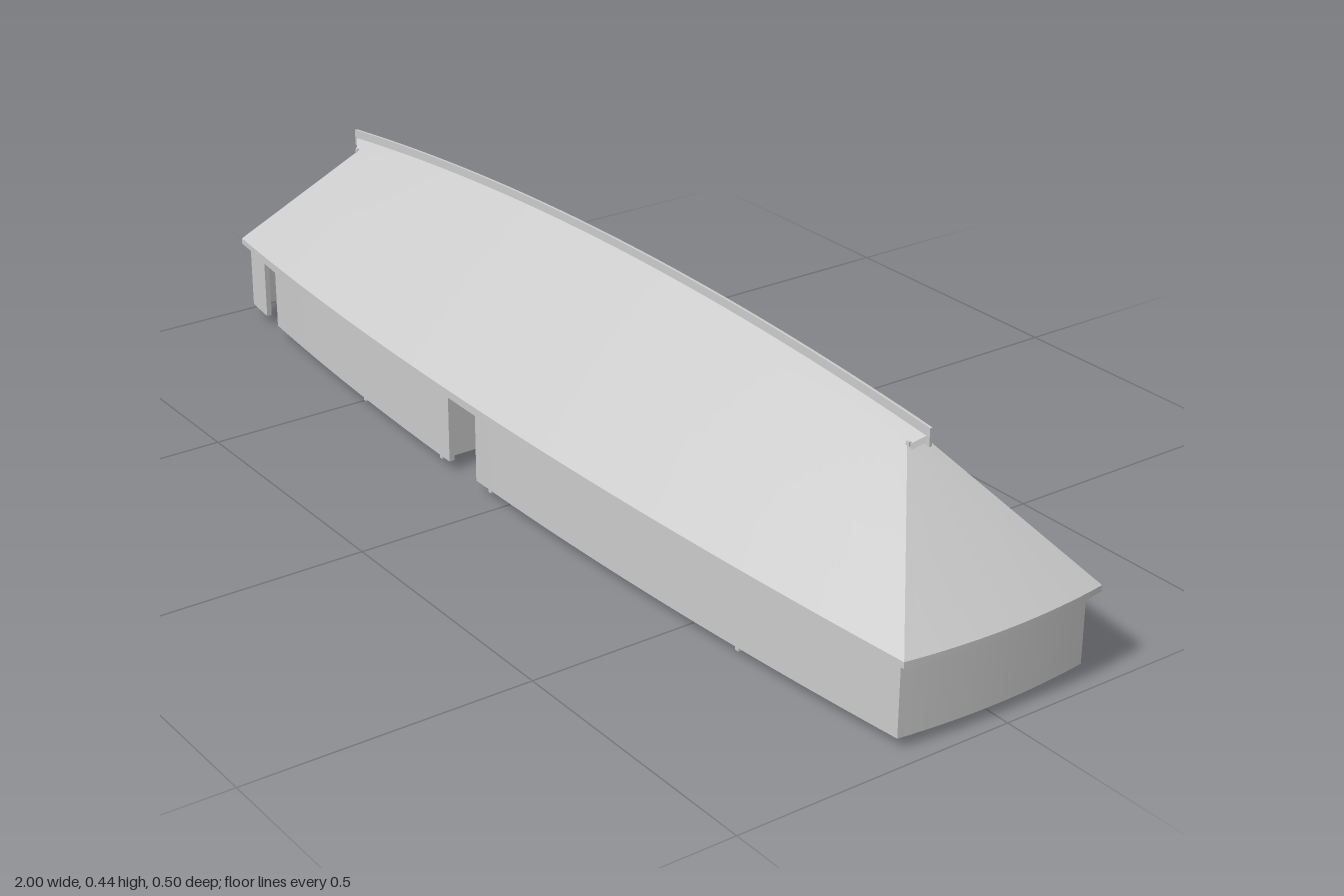
import * as THREE from 'three';
import { toCreasedNormals } from 'three/addons/utils/BufferGeometryUtils.js';

const mat = new THREE.MeshStandardMaterial({ color: 0xcccccc, side: THREE.DoubleSide });
const lerp = THREE.MathUtils.lerp;
const V = (x, y, z) => new THREE.Vector3(x, y, z);

// Bowed plan and sagging heights of the hall along x
const s = x => ((x - 0.05) / 1.03) ** 2;
const eaveZ = x => 0.25 - 0.07 * s(x);
const eaveY = x => 0.175 - 0.019 * s(x);
const ridgeY = x => 0.428 - 0.073 * s(x);
const wallZ = x => 0.23 - 0.062 * s(x);
const wallTop = x => eaveY(x) + 0.005;
const BASE = 0.02;

// Ends of the building: eave corner, top of hip, tip of ridge, wall corner
const ENDS = [
  { dir: -1, corner: -0.988, hip: -0.81, ridge: -0.835, wall: -0.973 },
  { dir: 1, corner: 0.982, hip: 0.775, ridge: 0.8, wall: 0.963 },
];
const HIP = 0.9;

// Closed solid through a row of equal cross-section rings
function loft(n, ring) {
  const rings = Array.from({ length: n + 1 }, (_, i) => ring(i / n));
  const m = rings[0].length, idx = [];
  for (let i = 0; i < n; i++) for (let j = 0; j < m; j++) {
    const a = i * m + j, b = i * m + (j + 1) % m;
    idx.push(a, b, a + m, b, b + m, a + m);
  }
  // end caps, as quads between the two halves of the ring
  for (const [o, flip] of [[0, true], [n * m, false]]) for (let j = 0; j < m / 2 - 1; j++) {
    const a = o + j, b = o + j + 1, c = o + m - 2 - j, d = o + m - 1 - j;
    idx.push(...(flip ? [a, c, b, a, d, c] : [a, b, c, a, c, d]));
  }
  const pts = rings.flat();
  let vol = 0;
  for (let k = 0; k < idx.length; k += 3)
    vol += pts[idx[k]].dot(pts[idx[k + 1]].clone().cross(pts[idx[k + 2]]));
  if (vol < 0) idx.reverse();
  const g = new THREE.BufferGeometry().setFromPoints(pts);
  g.setIndex(idx);
  return toCreasedNormals(g, 0.5);
}

// Point on the roof side: u along the hall, v from eave to ridge
function roofPoint(u, v, side) {
  const xAt = e => v <= HIP ? lerp(e.corner, e.hip, v / HIP) : lerp(e.hip, e.ridge, (v - HIP) / (1 - HIP));
  const xe = lerp(ENDS[0].corner, ENDS[1].corner, u), xr = lerp(ENDS[0].ridge, ENDS[1].ridge, u);
  return V(lerp(xAt(ENDS[0]), xAt(ENDS[1]), u), lerp(eaveY(xe), ridgeY(xr), v), side * eaveZ(xe) * (1 - v));
}

// Ring made of top points and the same points dropped by a thickness
const slab = (top, t) => [...top, ...top.map(p => V(p.x, p.y - t, p.z)).reverse()];

export function createModel() {
  const model = new THREE.Group();
  const group = name => {
    const g = new THREE.Group();
    g.name = name;
    model.add(g);
    return g;
  };
  const add = (parent, name, geo) => {
    const m = new THREE.Mesh(geo, mat);
    m.name = name;
    parent.add(m);
    return m;
  };
  const box = (parent, name, x0, x1, y0, y1, z0, z1) =>
    add(parent, name, new THREE.BoxGeometry(x1 - x0, y1 - y0, Math.abs(z1 - z0)))
      .position.set((x0 + x1) / 2, (y0 + y1) / 2, (z0 + z1) / 2);
  const beam = (parent, name, a, b, t) => {
    const m = add(parent, name, new THREE.BoxGeometry(t, t, a.distanceTo(b)));
    m.position.copy(a).lerp(b, 0.5);
    m.lookAt(b);
  };

  // Roof slopes, hips and gablets
  const roof = group('roof');
  for (const side of [1, -1])
    add(roof, side > 0 ? 'frontSlope' : 'backSlope',
      loft(48, u => slab([0, 0.45, HIP, 1].map(v => roofPoint(u, v, side)), 0.011)));
  ENDS.forEach((e, i) => {
    add(roof, 'hipEnd', loft(16, k => {
      const t = k * 2 - 1, a = roofPoint(i, 0, 1), b = roofPoint(i, HIP, 1);
      const bottom = V(a.x + e.dir * 0.015 * (1 - t * t), a.y, a.z * t);
      return slab([bottom, V(b.x, b.y, b.z * t)], 0.011);
    }));
    const b = roofPoint(i, HIP, 1), top = roofPoint(i, 1, 1);
    const gablet = new THREE.Shape([new THREE.Vector2(-b.z, b.y), new THREE.Vector2(b.z, b.y), new THREE.Vector2(0, top.y)]);
    const m = add(roof, 'gablet', new THREE.ShapeGeometry(gablet));
    m.rotation.y = e.dir * Math.PI / 2;
    m.position.x = b.x;
    beam(roof, 'gabletSill', V(b.x, b.y + 0.003, -b.z), V(b.x, b.y + 0.003, b.z), 0.007);
  });
  add(roof, 'ridgeBoard', loft(48, u => {
    const x = lerp(ENDS[0].ridge - 0.004, ENDS[1].ridge + 0.004, u), y = ridgeY(x);
    return slab([V(x, y + 0.012, -0.0025), V(x, y + 0.012, 0.0025)], 0.03);
  }));

  // Long walls, cut by doorways in the front
  const walls = group('walls');
  const wall = (name, x0, x1, y0, side) => add(walls, name, loft(Math.max(2, Math.round((x1 - x0) * 24)), k => {
    const x = lerp(x0, x1, k), z = wallZ(x), y = wallTop(x);
    return slab([V(x, y, side * z), V(x, y, side * (z - 0.01))], y - y0);
  }));
  const [L, R] = ENDS.map(e => e.wall);
  wall('backWall', L, R, BASE, -1);
  const doors = [[-0.905, -0.852, 0.13], [-0.163, -0.075, 0.142]];
  let start = L;
  for (const [x0, x1, top] of doors) {
    wall('frontWall', start, x0, BASE, 1);
    wall('doorLintel', x0, x1, top, 1);
    start = x1;
  }
  wall('frontWall', start, R, BASE, 1);

  // Bowed end walls
  for (const e of ENDS) add(walls, 'endWall', loft(16, k => {
    const t = k * 2 - 1, x = e.wall + e.dir * 0.012 * (1 - t * t), z = wallZ(e.wall) * t, y = wallTop(e.wall);
    return slab([V(x, y, z), V(x - e.dir * 0.01, y, z)], y - BASE);
  }));

  // Posts in two rows, joined by tie beams and long plates
  const frame = group('timberFrame');
  const postZ = x => 0.4 * eaveZ(x);
  for (const x of [-0.83, -0.69, -0.55, -0.44, -0.31, -0.18, -0.05, 0.08, 0.21, 0.34, 0.46, 0.6, 0.73]) {
    const z = postZ(x), y0 = x > 0 && x < 0.3 ? BASE : 0;
    for (const side of [1, -1])
      box(frame, 'post', x - 0.007, x + 0.007, y0, 0.2, side * z - 0.007, side * z + 0.007);
    const y = wallTop(x) - 0.006, w = wallZ(x) - 0.005;
    beam(frame, 'tieBeam', V(x, y, -w), V(x, y, w), 0.012);
  }
  for (const side of [1, -1]) add(frame, 'plate', loft(24, k => {
    const x = lerp(-0.84, 0.76, k), z = side * postZ(x);
    return slab([V(x, 0.212, z - 0.007), V(x, 0.212, z + 0.007)], 0.014);
  }));

  // Rafters under both slopes
  for (let i = 1; i < 28; i++) for (const side of [1, -1]) {
    const a = roofPoint(i / 28, 0.02, side), b = roofPoint(i / 28, 0.97, side);
    a.y -= 0.015;
    b.y -= 0.017;
    beam(frame, 'rafter', a, b, 0.008);
  }

  // Cross partitions with a middle passage
  const rooms = group('partitions');
  for (const x of [0.62, -0.04, -0.2, -0.48]) for (const side of [1, -1])
    box(rooms, 'partition', x - 0.004, x + 0.004, 0.01, wallTop(x), side * 0.025, side * (wallZ(x) - 0.005));

  // Raised benches along the walls of the main room
  const benches = group('benches');
  const bench = (x0, x1, side) => add(benches, 'bench', loft(16, k => {
    const x = lerp(x0, x1, k), z = wallZ(x) - 0.005;
    return slab([V(x, 0.062, side * z), V(x, 0.062, side * (z - 0.095))], 0.016);
  }));
  bench(-0.04, 0.62, 1);
  bench(-0.2, 0.62, -1);

  return model;
}
